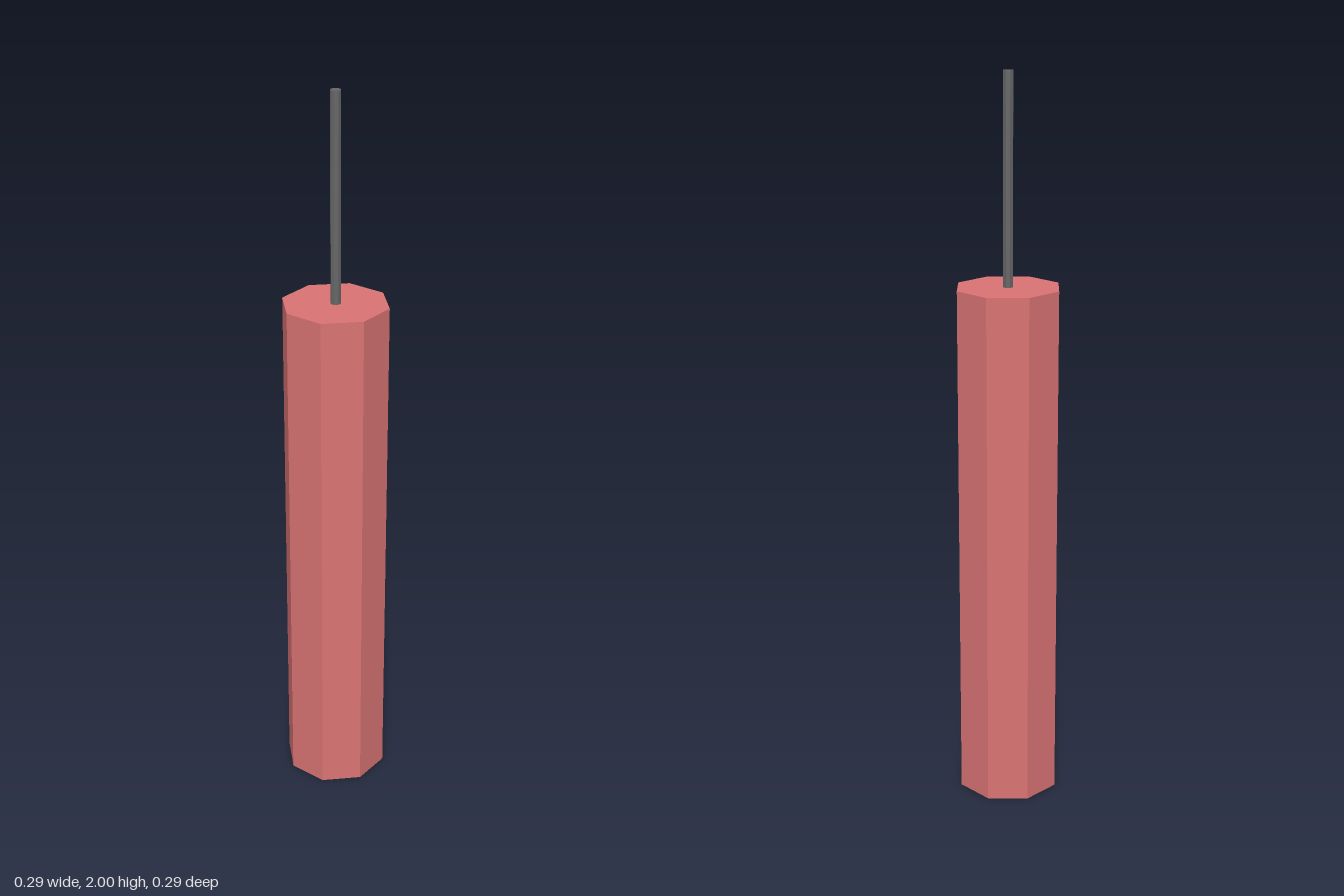
import * as THREE from 'three';

export function createModel() {
  const group = new THREE.Group();
  const red = new THREE.MeshStandardMaterial({ color: 0xd97373, flatShading: true });
  red.name = 'soft red';
  const grey = new THREE.MeshStandardMaterial({ color: 0x666666, flatShading: true });
  grey.name = 'dark grey';

  // Upright octagonal prism spanning two heights
  const prism = (name, radius, bottom, top, material) => {
    const mesh = new THREE.Mesh(
      new THREE.CylinderGeometry(radius, radius, top - bottom, 8), material);
    mesh.name = name;
    mesh.position.y = (bottom + top) / 2;
    group.add(mesh);
  };

  prism('body', 0.144, 0, 1.443, red);
  prism('fuse', 0.014, 1.443, 2, grey);
  return group;
}
